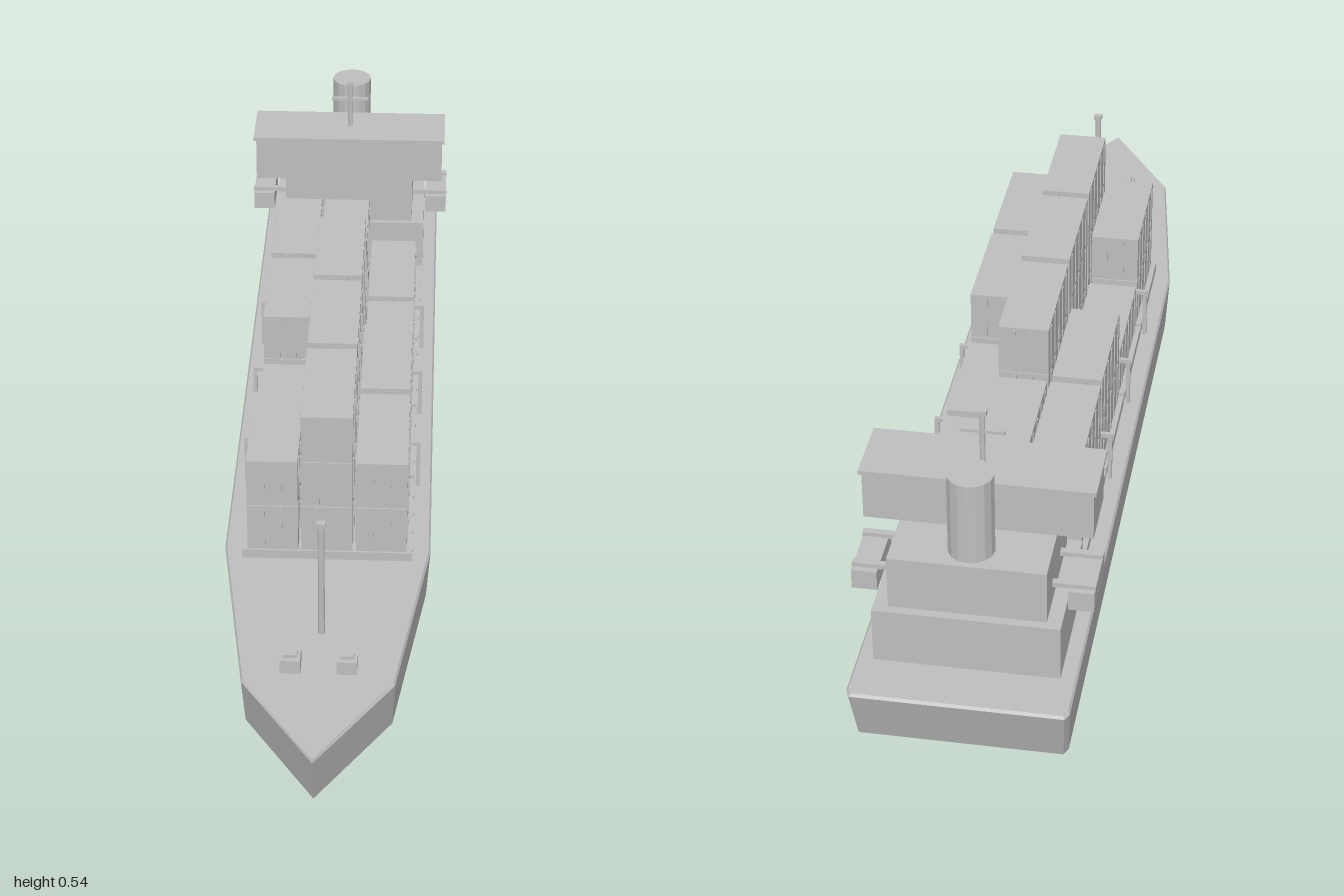
import * as THREE from 'three';

const grey = new THREE.MeshStandardMaterial({ color: 0xbfbfbf });
grey.name = 'light grey';
grey.flatShading = true;

// Box given by its limits on each axis
function box(parent, name, [x0, x1], [y0, y1], [z0, z1]) {
  const mesh = new THREE.Mesh(new THREE.BoxGeometry(x1 - x0, y1 - y0, z1 - z0), grey);
  mesh.position.set((x0 + x1) / 2, (y0 + y1) / 2, (z0 + z1) / 2);
  mesh.name = name;
  parent.add(mesh);
}

function post(parent, name, r, [y0, y1], z, sides) {
  const mesh = new THREE.Mesh(new THREE.CylinderGeometry(r, r, y1 - y0, sides), grey);
  mesh.position.set(0, (y0 + y1) / 2, z);
  mesh.name = name;
  parent.add(mesh);
}

function group(parent, name) {
  const g = new THREE.Group();
  g.name = name;
  parent.add(g);
  return g;
}

// Limits mirrored to the chosen side
const side = (s, a, b) => (s > 0 ? [a, b] : [-b, -a]);

// Hull: the deck outline scaled at each level, closed with flat caps
function hullGeometry() {
  const half = [[0.135, 0.79], [0.192, 0.4], [0.192, -0.985], [0.185, -1]];
  const outline = [[0, 1], ...half, ...half.map(([x, z]) => [-x, z]).reverse()];
  const levels = [[0, 0.94, 0.947], [0.014, 0.965, 0.966], [0.122, 1, 1], [0.127, 0.982, 0.996]];
  const rings = levels.map(([y, sx, sz]) => outline.map(([x, z]) => [x * sx, y, z * sz]));
  const n = outline.length;
  const out = [];
  const top = rings[rings.length - 1];
  for (let i = 0; i < n; i++) {
    const j = (i + 1) % n;
    for (let k = 0; k + 1 < rings.length; k++) {
      const a = rings[k], b = rings[k + 1];
      out.push(...a[i], ...a[j], ...b[j], ...a[i], ...b[j], ...b[i]);
    }
    out.push(0, 0.127, 0, ...top[i], ...top[j]);
    out.push(0, 0, 0, ...rings[0][j], ...rings[0][i]);
  }
  const g = new THREE.BufferGeometry();
  g.setAttribute('position', new THREE.Float32BufferAttribute(out, 3));
  g.computeVertexNormals();
  return g;
}

// Container with thin vertical ribs on its sides and ends
function container(parent, x, y, z) {
  const c = group(parent, 'container');
  const w = 0.047, h = 0.097, d = 0.117;
  box(c, 'containerBody', [x - w, x + w], [y, y + h], [z - d, z + d]);
  for (const s of [-1, 1]) {
    for (let i = -2; i <= 2; i++) {
      const rz = z + i * 0.045;
      const [a, b] = side(s, w, w + 0.002);
      box(c, 'sideRib', [x + a, x + b], [y + 0.005, y + h - 0.005], [rz - 0.004, rz + 0.004]);
    }
    for (const i of [-1, 1]) {
      const rx = x + i * 0.016;
      const [a, b] = side(s, d, d + 0.002);
      box(c, 'endRib', [rx - 0.002, rx + 0.002], [y + 0.005, y + h - 0.005], [z + a, z + b]);
    }
  }
}

export function createModel() {
  const ship = new THREE.Group();
  ship.name = 'containerShip';

  const hull = new THREE.Mesh(hullGeometry(), grey);
  hull.name = 'hull';
  ship.add(hull);

  // Cargo: tiers per bay, columns from -x to +x
  const cargo = group(ship, 'cargo');
  const tiers = [[2, 3, 2], [1, 3, 2], [2, 3, 1], [2, 2, 1]];
  tiers.forEach((row, bay) => {
    const z = 0.313 - bay * 0.2525;
    box(cargo, 'hatchCover', [-0.158, 0.158], [0.125, 0.145], [z - 0.121, z + 0.121]);
    row.forEach((count, col) => {
      for (let t = 0; t < count; t++) container(cargo, (col - 1) * 0.1005, 0.145 + t * 0.0988, z);
    });
  });

  // Lashing frames between the bays
  for (let i = 0; i < 3; i++) {
    const z = 0.187 - i * 0.2525;
    const frame = group(ship, 'lashingFrame');
    for (const s of [-1, 1]) {
      box(frame, 'framePost', side(s, 0.161, 0.169), [0.125, 0.228], [z - 0.004, z + 0.004]);
    }
    box(frame, 'frameBeam', [-0.169, 0.169], [0.221, 0.229], [z - 0.004, z + 0.004]);
  }

  // Superstructure
  const house = group(ship, 'superstructure');
  box(house, 'lowerHouse', [-0.163, 0.163], [0.125, 0.234], [-0.903, -0.655]);
  box(house, 'upperHouse', [-0.137, 0.137], [0.234, 0.336], [-0.887, -0.665]);
  box(house, 'bridge', [-0.2, 0.2], [0.336, 0.43], [-0.778, -0.66]);
  box(house, 'bridgeRoof', [-0.205, 0.205], [0.428, 0.436], [-0.783, -0.655]);
  post(house, 'funnel', 0.041, [0.336, 0.494], -0.836, 16);

  // Lifeboats hung from davit arms
  for (const s of [-1, 1]) {
    const boat = group(house, 'lifeboat');
    box(boat, 'boatBody', side(s, 0.166, 0.211), [0.228, 0.266], [-0.84, -0.72]);
    for (const z of [-0.823, -0.737]) {
      box(boat, 'davitArm', side(s, 0.13, 0.212), [0.265, 0.274], [z - 0.006, z + 0.006]);
    }
  }

  // Radar mast on the bridge
  const radar = group(ship, 'radarMast');
  post(radar, 'radarPost', 0.005, [0.434, 0.535], -0.722, 8);
  box(radar, 'radarBar', [-0.039, 0.039], [0.497, 0.503], [-0.726, -0.718]);
  box(radar, 'radarCap', [-0.008, 0.008], [0.533, 0.542], [-0.728, -0.716]);

  // Foremast
  const foremast = group(ship, 'foremast');
  post(foremast, 'foremastPost', 0.006, [0.125, 0.362], 0.653, 8);
  box(foremast, 'foremastCap', [-0.008, 0.008], [0.36, 0.369], [0.647, 0.659]);

  // Anchor winches
  for (const x of [-0.05, 0.05]) {
    const winch = group(ship, 'anchorWinch');
    box(winch, 'winchBase', [x - 0.018, x + 0.018], [0.125, 0.154], [0.732, 0.77]);
    box(winch, 'winchDrum', [x - 0.012, x + 0.012], [0.154, 0.161], [0.741, 0.761]);
  }

  return ship;
}
